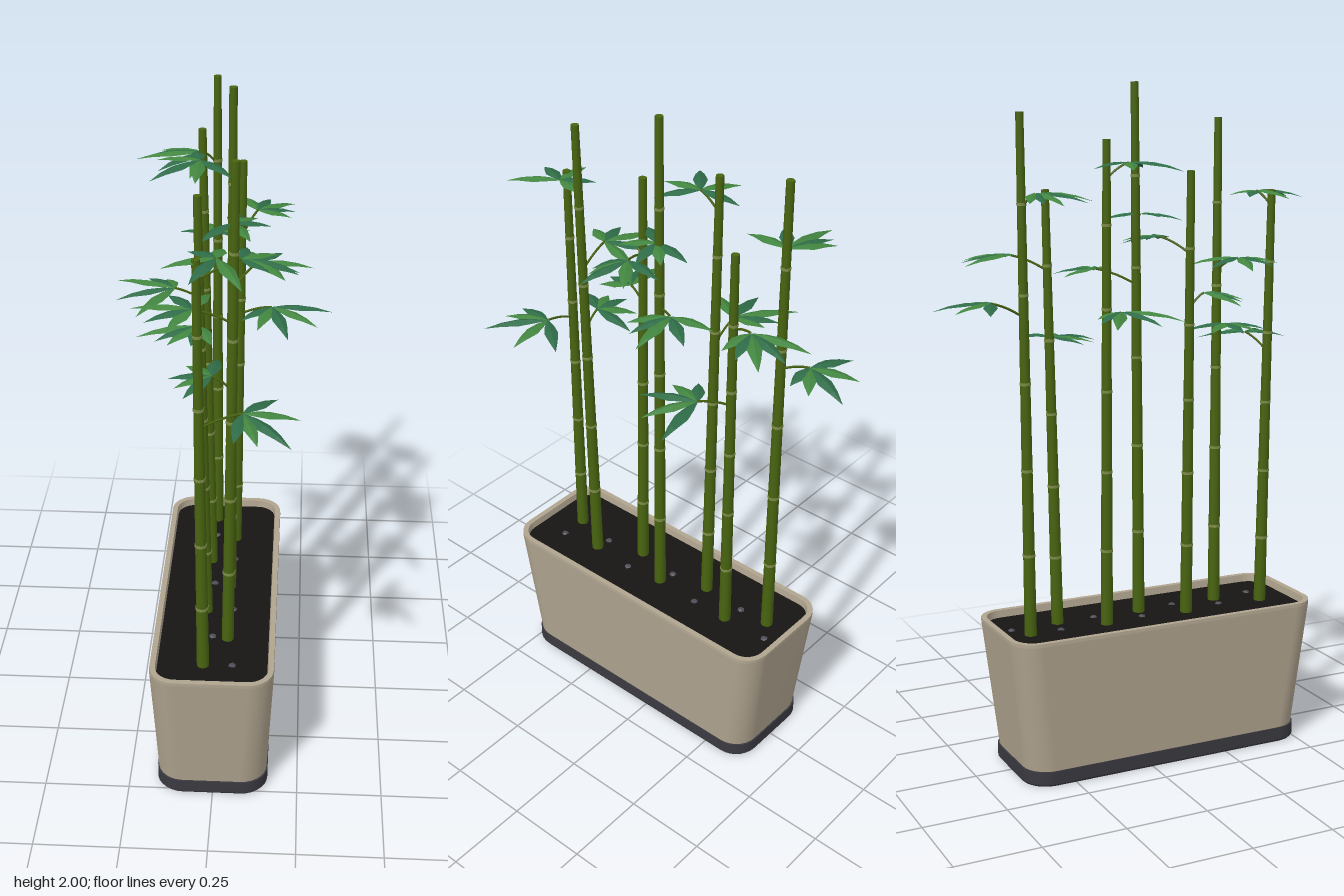
import * as THREE from 'three';
import { mergeGeometries } from 'three/addons/utils/BufferGeometryUtils.js';

const mat = (name, color, side = THREE.FrontSide) => {
  const m = new THREE.MeshStandardMaterial({ color, side });
  m.name = name;
  return m;
};

const CX = -0.003, CZ = 0.0625, SOIL_Y = 0.42;

// Points of a rounded rectangle, corner by corner
function ring([w, d, r, y]) {
  const pts = [], n = 7;
  for (let c = 0; c < 4; c++) {
    const sx = c === 0 || c === 3 ? 1 : -1, sz = c < 2 ? 1 : -1;
    for (let i = 0; i <= n; i++) {
      const a = (c + i / n) * Math.PI / 2;
      pts.push(sx * (w / 2 - r) + Math.cos(a) * r, y, sz * (d / 2 - r) + Math.sin(a) * r);
    }
  }
  return pts;
}

// Strip of surface between two rounded rectangles
function strip(lower, upper) {
  const a = ring(lower), b = ring(upper), n = a.length / 3, index = [];
  for (let i = 0; i < n; i++) {
    const j = (i + 1) % n;
    index.push(i, i + n, j, j, i + n, j + n);
  }
  const g = new THREE.BufferGeometry();
  g.setAttribute('position', new THREE.Float32BufferAttribute([...a, ...b], 3));
  g.setIndex(index);
  g.computeVertexNormals();
  return g;
}

// Stack of strips with a sharp edge at each ring
const loft = (rings) => mergeGeometries(rings.slice(1).map((r, i) => strip(rings[i], r)));

// Folded, pointed, drooping leaf of unit length along +z
function leafGeometry() {
  const stations = [[0, 0.012], [0.22, 0.085], [0.45, 0.125], [0.72, 0.075], [1, 0]];
  const pos = [], index = [];
  stations.forEach(([t, w], i) => {
    const y = 0.16 * t - 0.3 * t * t;
    pos.push(-w, y - w * 0.4, t, 0, y, t, w, y - w * 0.4, t);
    if (i === 0) return;
    for (let k = 0; k < 2; k++) {
      const a = (i - 1) * 3 + k, b = i * 3 + k;
      index.push(a, b, a + 1, a + 1, b, b + 1);
    }
  });
  const g = new THREE.BufferGeometry();
  g.setAttribute('position', new THREE.Float32BufferAttribute(pos, 3));
  g.setIndex(index);
  const flat = g.toNonIndexed();
  flat.computeVertexNormals();
  return flat;
}

// Canes: base x, z, then top x, height, z
const CANES = [
  [-0.03, -0.333, -0.03, 1.915, -0.347],
  [0.035, -0.22, 0.05, 1.70, -0.24],
  [-0.035, -0.09, -0.058, 1.84, -0.098],
  [0.03, 0.048, 0.033, 2.0, 0.034],
  [-0.035, 0.177, -0.055, 1.75, 0.172],
  [0.035, 0.312, 0.053, 1.90, 0.32],
  [-0.03, 0.44, -0.04, 1.69, 0.452],
];

// Two leaf sprays per cane: height, hub x, z, then tips of the middle, first and last leaf
const SPRAYS = [
  [1.69, -0.07, -0.32, -0.27, -0.32, -0.1, -0.16, -0.2, -0.39],
  [1.39, -0.03, -0.44, 0.03, -0.59, -0.16, -0.49, 0.06, -0.44],
  [1.51, 0.09, -0.33, 0.2, -0.44, 0.04, -0.49, 0.19, -0.31],
  [1.26, 0.14, -0.19, 0.19, -0.02, 0.32, -0.215, 0.05, -0.12],
  [1.36, -0.14, -0.09, -0.32, -0.19, -0.24, 0.06, -0.17, -0.18],
  [1.77, -0.06, -0.03, -0.19, 0.08, 0.03, 0.06, -0.08, -0.15],
  [1.46, 0.1, -0.06, 0.26, -0.075, 0.18, 0.03, 0.06, -0.18],
  [1.62, 0.03, 0.05, 0.14, 0.03, -0.05, 0.15, 0.04, -0.07],
  [1.39, -0.05, 0.22, -0.13, 0.31, -0.22, 0.25, -0.01, 0.31],
  [1.55, 0.06, 0.13, 0.22, 0.165, 0.07, 0.01, 0.14, 0.19],
  [1.49, -0.06, 0.33, -0.23, 0.28, -0.12, 0.43, -0.02, 0.18],
  [1.29, -0.01, 0.32, -0.13, 0.31, -0.08, 0.42, 0, 0.18],
  [1.68, 0.01, 0.43, -0.13, 0.46, 0.08, 0.58, 0.02, 0.34],
  [1.245, 0.08, 0.44, 0.21, 0.58, 0.06, 0.57, 0.17, 0.32],
];

// Leaf direction halfway between two others
const between = (a, b) =>
  a.clone().normalize().add(b.clone().normalize()).setLength(0.45 * (a.length() + b.length()));

export function createModel() {
  const model = new THREE.Group();
  model.name = 'pottedBamboo';
  const clay = mat('beige planter', 0xb0a48f);
  const slate = mat('dark base', 0x3a3940);
  const earth = mat('black soil', 0x161514);
  const stone = mat('grey stone', 0x4c4c55);
  const cane = mat('cane green', 0x486410);
  const node = mat('cane joint', 0x7c8c48);
  const leafLight = mat('light leaf', 0x428540, THREE.DoubleSide);
  const leafDark = mat('dark leaf', 0x2f6c48, THREE.DoubleSide);

  const add = (parent, name, geometry, material) => {
    const m = new THREE.Mesh(geometry, material);
    m.name = name;
    parent.add(m);
    return m;
  };

  // Planter with flared walls, rim, base plinth and soil
  const planter = new THREE.Group();
  planter.name = 'planter';
  planter.position.set(CX, 0, CZ);
  model.add(planter);
  add(planter, 'planterWall', loft([
    [0.322, 0.9, 0.075, 0.045], [0.358, 0.99, 0.075, 0.432], [0.356, 0.99, 0.074, 0.442],
    [0.324, 0.956, 0.058, 0.442], [0.316, 0.948, 0.055, 0.41],
  ]), clay);
  add(planter, 'plinth', loft([
    [0, 0, 0, 0], [0.322, 0.9, 0.075, 0], [0.328, 0.908, 0.075, 0.006],
    [0.328, 0.908, 0.075, 0.045], [0, 0, 0, 0.045],
  ]), slate);
  add(planter, 'soil', loft([[0.322, 0.954, 0.057, SOIL_Y], [0, 0, 0, SOIL_Y]]), earth);

  // Pebbles scattered on the soil
  for (let i = 0; i < 7; i++) {
    const p = add(model, 'pebble', new THREE.IcosahedronGeometry(0.012, 0), stone);
    p.position.set(0.03 * (i % 2 ? -1 : 1) + 0.004 * i, SOIL_Y, -0.37 + i * 0.135);
    p.scale.y = 0.5;
    p.rotation.y = i;
  }

  // Jointed tapering canes
  const bases = CANES.map(([x, z]) => new THREE.Vector3(x, SOIL_Y - 0.01, z));
  const tops = CANES.map(([, , x, y, z]) => new THREE.Vector3(x, y, z));
  const up = new THREE.Vector3(0, 1, 0);
  bases.forEach((base, k) => {
    const dir = tops[k].clone().sub(base), length = dir.length(), n = 6;
    const group = new THREE.Group();
    group.name = 'cane' + (k + 1);
    group.position.copy(base);
    group.quaternion.setFromUnitVectors(up, dir.normalize());
    model.add(group);
    const radius = (t) => 0.0185 - 0.007 * t;
    for (let i = 0; i < n; i++) {
      const h = length / n;
      add(group, 'caneSection', new THREE.CylinderGeometry(radius((i + 1) / n), radius(i / n), h, 10), cane)
        .position.y = (i + 0.5) * h;
      if (i === 0) continue;
      const r = radius(i / n) + 0.0015;
      add(group, 'caneJoint', new THREE.CylinderGeometry(r, r, 0.008, 10), node).position.y = i * h;
    }
  });

  // Twigs with fans of five leaves
  const leaf = leafGeometry();
  SPRAYS.forEach(([y, hx, hz, mx, mz, fx, fz, lx, lz], s) => {
    const spray = new THREE.Group();
    spray.name = 'leafSpray' + (s + 1);
    model.add(spray);
    const k = Math.floor(s / 2);
    const t = (y - 0.04 - bases[k].y) / (tops[k].y - bases[k].y);
    const root = bases[k].clone().lerp(tops[k], t);
    const hub = new THREE.Vector3(hx, y + 0.005, hz);
    const bend = root.clone().lerp(hub, 0.5).setY(y - 0.005);
    add(spray, 'twig', new THREE.TubeGeometry(
      new THREE.QuadraticBezierCurve3(root, bend, hub), 6, 0.0035, 5), cane);
    const [middle, first, last] = [[mx, mz], [fx, fz], [lx, lz]]
      .map(([x, z]) => new THREE.Vector2(x - hx, z - hz));
    [first, between(first, middle), middle, between(middle, last), last].forEach((d, i) => {
      const length = d.length();
      const m = add(spray, 'leaf', leaf, (i + s) % 2 ? leafDark : leafLight);
      m.position.copy(hub);
      m.rotation.y = Math.atan2(d.x, d.y);
      m.scale.set(0.165, Math.min(length, 0.18), length);
    });
  });
  return model;
}
